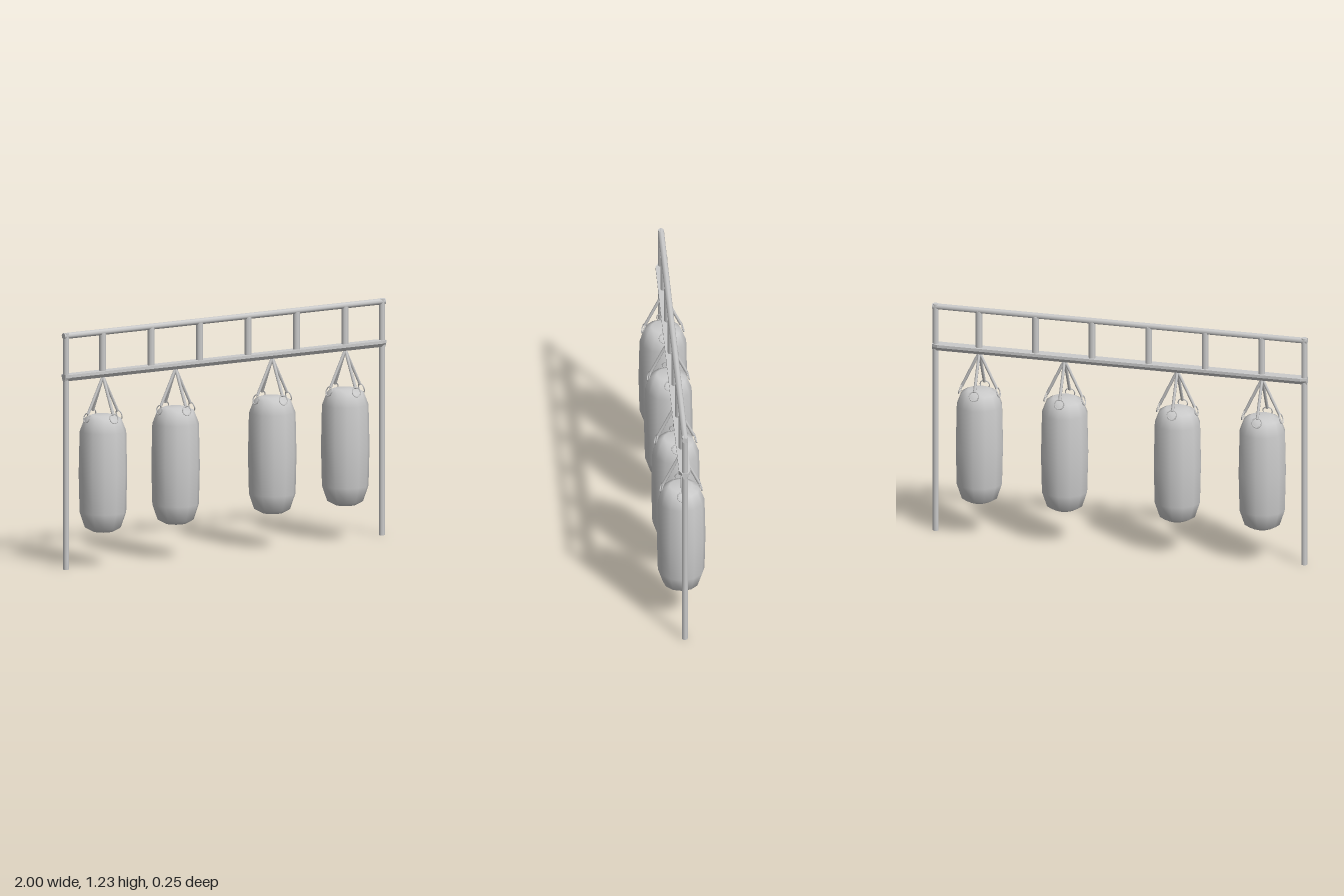
import * as THREE from 'three';

const material = new THREE.MeshStandardMaterial({ color: 0xcccccc, side: THREE.DoubleSide });
const FRAME_Z = -0.005;

function add(parent, name, geometry, x = 0, y = 0, z = 0) {
  const mesh = new THREE.Mesh(geometry, material);
  mesh.name = name;
  mesh.position.set(x, y, z);
  parent.add(mesh);
  return mesh;
}

// Round bar between two points
function bar(parent, name, from, to, radius, sides = 8) {
  const a = new THREE.Vector3(...from), b = new THREE.Vector3(...to);
  const mesh = add(parent, name, new THREE.CylinderGeometry(radius, radius, a.distanceTo(b), sides));
  mesh.position.copy(a).add(b).multiplyScalar(0.5);
  mesh.quaternion.setFromUnitVectors(new THREE.Vector3(0, 1, 0), b.sub(a).normalize());
  return mesh;
}

// Wide lower beam: flat top, tapered underside, ends narrowed to the leg width
function beamGeometry() {
  const shape = new THREE.Shape([
    [-0.029, 1.014], [-0.029, 0.999], [-0.014, 0.98],
    [0.014, 0.98], [0.029, 0.999], [0.029, 1.014],
  ].map(([x, y]) => new THREE.Vector2(x, y)));
  const geometry = new THREE.ExtrudeGeometry(shape, { depth: 3, steps: 3, bevelEnabled: false });
  const stations = [-1, -0.97, 0.97, 1];
  const p = geometry.attributes.position;
  for (let i = 0; i < p.count; i++) {
    const station = Math.round(p.getZ(i));
    if (station === 0 || station === 3) p.setX(i, p.getX(i) * 0.55);
    p.setZ(i, stations[station]);
  }
  geometry.rotateY(Math.PI / 2);
  geometry.computeVertexNormals();
  return geometry;
}

// Hanging bag with four straps and rings
function punchBag(x) {
  const bag = new THREE.Group();
  bag.name = 'punchBag';
  bag.position.x = x;

  const profile = [
    [0.055, 0.18], [0.093, 0.2], [0.12, 0.28], [0.125, 0.48],
    [0.12, 0.7], [0.094, 0.768], [0.06, 0.784], [0, 0.785],
  ].map(([r, y]) => new THREE.Vector2(r, y));
  add(bag, 'bagBody', new THREE.LatheGeometry(profile, 12));
  add(bag, 'bagBottom', new THREE.CircleGeometry(0.055, 12).rotateX(Math.PI / 2), 0, 0.18, 0);

  for (let i = 0; i < 4; i++) {
    const side = new THREE.Group();
    side.name = 'hanger';
    side.rotation.y = i * Math.PI / 2;
    bar(side, 'strap', [0, 0.985, 0], [0, 0.795, 0.093], 0.008, 6);
    const ring = add(side, 'ring', new THREE.TorusGeometry(0.025, 0.003, 6, 16), 0, 0.777, 0.101);
    ring.rotation.x = -0.3;
    bag.add(side);
  }
  return bag;
}

export function createModel() {
  const model = new THREE.Group();
  model.name = 'punchBagRack';

  // Frame
  for (const s of [-1, 1]) {
    bar(model, 'leg', [s * 0.984, 0, FRAME_Z], [s * 0.984, 1.228, FRAME_Z], 0.016);
  }
  bar(model, 'topRail', [-1, 1.214, FRAME_Z], [1, 1.214, FRAME_Z], 0.016);
  add(model, 'lowerBeam', beamGeometry(), 0, 0, FRAME_Z);
  for (let i = 0; i < 6; i++) {
    const x = -0.757 + i * 0.302;
    bar(model, 'rung', [x, 1.005, FRAME_Z], [x, 1.21, FRAME_Z], 0.018);
  }

  // Bags
  for (const x of [-0.758, -0.305, 0.297, 0.752]) model.add(punchBag(x));
  return model;
}
